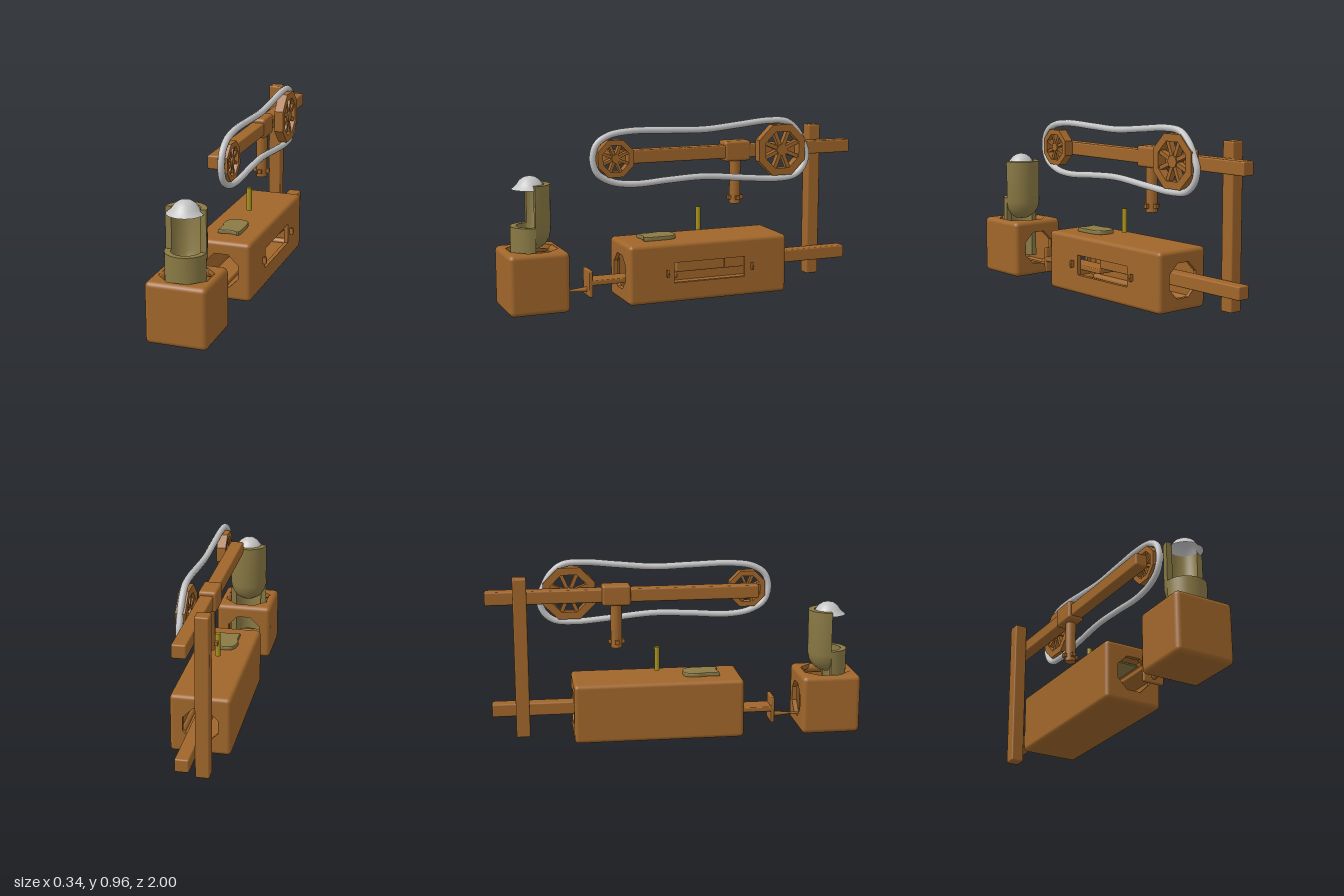
import * as THREE from 'three';
import { mergeGeometries, toCreasedNormals } from 'three/addons/utils/BufferGeometryUtils.js';
import { RoundedBoxGeometry } from 'three/addons/geometries/RoundedBoxGeometry.js';

const material = (name, color, side = THREE.FrontSide) => {
  const m = new THREE.MeshStandardMaterial({ color, side });
  m.name = name;
  return m;
};

export function createModel() {
  const model = new THREE.Group();
  model.name = 'beltMachine';
  const wood = material('wood', 0xa0662a);
  const olive = material('olive', 0x8a7a45, THREE.DoubleSide);
  const yellow = material('yellow', 0xa8921c);
  const silver = material('silver', 0xc4c4c4, THREE.DoubleSide);
  const CX = -0.012; // the machine's long axis

  const add = (name, geometry, mat, x = 0, y = 0, z = 0, parent = model) => {
    const mesh = new THREE.Mesh(geometry, mat);
    mesh.name = name;
    mesh.position.set(x, y, z);
    parent.add(mesh);
    return mesh;
  };
  // Rounded bar given by its limits on each axis
  const bar = (name, [x0, x1], [y0, y1], [z0, z1], r = 0.008) =>
    add(name, new RoundedBoxGeometry(x1 - x0, y1 - y0, z1 - z0, 2, r), wood,
      (x0 + x1) / 2, (y0 + y1) / 2, (z0 + z1) / 2);

  const polygon = (n, r, turn = 0) => Array.from({ length: n }, (_, i) => {
    const a = turn + (i / n) * Math.PI * 2;
    return new THREE.Vector2(Math.cos(a) * r, Math.sin(a) * r);
  });
  const octagon = (r) => polygon(8, r, Math.PI / 8);
  const rect = (w, h) => [[-w, -h], [w, -h], [w, h], [-w, h]].map(([x, y]) => new THREE.Vector2(x / 2, y / 2));

  // Hollow box: wall panels with holes, round edges and round corners
  function hollowBox(name, w, h, d, r, holes) {
    const parts = [];
    const wall = (key, a, b, out, rx, ry) => {
      const shape = new THREE.Shape(rect(a - 2 * r, b - 2 * r));
      if (holes[key]) shape.holes.push(new THREE.Path(holes[key]));
      const g = new THREE.ExtrudeGeometry(shape, { depth: r, bevelEnabled: false });
      parts.push(g.translate(0, 0, out / 2 - r).rotateX(rx).rotateY(ry));
    };
    const q = Math.PI / 2;
    wall('front', w, h, d, 0, 0);
    wall('back', w, h, d, 0, Math.PI);
    wall('left', d, h, w, 0, q);
    wall('right', d, h, w, 0, -q);
    wall('top', w, d, h, -q, 0);
    wall('bottom', w, d, h, q, 0);
    const x = w / 2 - r, y = h / 2 - r, z = d / 2 - r;
    const edge = (len) => new THREE.CylinderGeometry(r, r, len, 20, 1, true).toNonIndexed();
    for (const s of [-1, 1]) for (const t of [-1, 1]) {
      parts.push(edge(2 * y).translate(s * x, 0, t * z));
      parts.push(edge(2 * x).rotateZ(q).translate(0, s * y, t * z));
      parts.push(edge(2 * z).rotateX(q).translate(s * x, t * y, 0));
      for (const u of [-1, 1]) {
        parts.push(new THREE.SphereGeometry(r, 20, 12).toNonIndexed().translate(s * x, t * y, u * z));
      }
    }
    return add(name, mergeGeometries(parts), wood, CX, h / 2, 0);
  }

  // Main housing and cup box
  hollowBox('mainHousing', 0.32, 0.32, 0.91, 0.022, {
    front: octagon(0.1), back: octagon(0.1), left: rect(0.41, 0.11),
  }).position.z = -0.095;
  hollowBox('cupBox', 0.32, 0.32, 0.32, 0.026, {
    top: octagon(0.136), back: octagon(0.1),
  }).position.z = 0.84;
  add('housingLining', new THREE.BoxGeometry(0.26, 0.008, 0.6), olive, CX, 0.29, -0.095);

  // Window clips on the housing's side
  for (const z of [0.15, -0.34]) {
    for (const s of [-1, 1]) {
      const clip = add('windowClip', new THREE.BoxGeometry(0.022, 0.02, 0.012), wood, 0.157, 0.162 + s * 0.009, z);
      clip.rotation.z = s * 0.25;
    }
  }

  // Wavy lid patch on top
  const lid = new THREE.Shape();
  lid.setFromPoints(new THREE.SplineCurve([
    [-0.055, -0.09], [0.01, -0.08], [0.05, -0.09], [0.055, -0.03], [0.05, 0.06],
    [0.02, 0.09], [-0.045, 0.085], [-0.065, 0.03], [-0.055, -0.02], [-0.055, -0.09],
  ].map(([x, y]) => new THREE.Vector2(x, y))).getPoints(36));
  add('topLid', new THREE.ExtrudeGeometry(lid, {
    depth: 0.012, bevelThickness: 0.006, bevelSize: 0.006, bevelSegments: 2,
  }).rotateX(-Math.PI / 2), olive, CX, 0.324, 0.145);
  add('yellowPin', new THREE.CylinderGeometry(0.014, 0.014, 0.13, 16), yellow, CX, 0.414, -0.093);

  // Frame: lower bar, post and upper beam
  bar('rearBar', [-0.05, 0.022], [0.13, 0.2], [-0.98, -0.23]);
  bar('post', [-0.124, -0.052], [0.035, 0.89], [-0.855, -0.782]);
  bar('upperBeam', [-0.048, 0.024], [0.737, 0.808], [-1, 0.455]);
  bar('beamBlock', [-0.065, 0.03], [0.72, 0.83], [-0.387, -0.235], 0.014);
  bar('piston', [-0.08, 0.04], [0.135, 0.2], [-0.23, 0.055]);

  // Hanging peg with studs around its foot
  add('hangingPeg', new THREE.CylinderGeometry(0.03, 0.03, 0.25, 20), wood, CX, 0.61, -0.31);
  for (let i = 0; i < 4; i++) {
    const a = (i * Math.PI) / 2;
    const stud = add('pegStud', new THREE.BoxGeometry(0.018, 0.022, 0.022), wood,
      CX + Math.sin(a) * 0.036, 0.518, -0.31 + Math.cos(a) * 0.036);
    stud.rotation.y = a + Math.PI / 2;
  }

  // Front plank, end plate and thin stirring rod
  bar('frontPlank', [-0.07, 0.046], [0.105, 0.132], [0.05, 0.54], 0.006);
  bar('endPlate', [-0.07, 0.046], [0.042, 0.185], [0.528, 0.548], 0.006);
  add('stirRod', new THREE.CylinderGeometry(0.006, 0.016, 0.1, 12).rotateX(Math.PI / 2), wood, CX, 0.075, 0.59);
  add('rodTip', new THREE.CylinderGeometry(0.006, 0.006, 0.16, 12).rotateX(Math.PI / 2), wood, CX, 0.075, 0.71);

  // Eight-sided spoked wheels
  function wheel(name, r, z) {
    const g = new THREE.Group();
    g.name = name;
    g.position.set(0.026, 0.775, z);
    g.rotation.y = Math.PI / 2;
    model.add(g);
    const rim = new THREE.Shape(octagon(r));
    rim.holes.push(new THREE.Path(octagon(r * 0.72)));
    add('rim', new THREE.ExtrudeGeometry(rim, { depth: 0.05, bevelEnabled: false }), wood, 0, 0, 0, g);
    add('hub', new THREE.CylinderGeometry(r * 0.22, r * 0.22, 0.05, 8).rotateX(Math.PI / 2), wood, 0, 0, 0.024, g);
    for (let i = 0; i < 8; i++) {
      const spoke = new THREE.BoxGeometry(r * 0.74, r * 0.14, 0.034).translate(r * 0.37, 0, 0.025);
      add('spoke', spoke, wood, 0, 0, 0, g).rotation.z = (i * Math.PI) / 4 + Math.PI / 8;
    }
  }
  wheel('bigWheel', 0.15, -0.555);
  wheel('smallWheel', 0.105, 0.405);

  // Drive belt as [z, y] points
  const beltPath = [
    [0.525, 0.775], [0.505, 0.85], [0.44, 0.895], [0.32, 0.914], [0.1, 0.91], [-0.1, 0.905],
    [-0.3, 0.922], [-0.48, 0.938], [-0.59, 0.928], [-0.655, 0.875], [-0.69, 0.81], [-0.712, 0.75],
    [-0.695, 0.68], [-0.64, 0.63], [-0.53, 0.617], [-0.35, 0.63], [-0.1, 0.652], [0.1, 0.645],
    [0.3, 0.634], [0.42, 0.652], [0.5, 0.7],
  ].map(([z, y]) => new THREE.Vector3(0.052, y, z));
  add('driveBelt', new THREE.TubeGeometry(new THREE.CatmullRomCurve3(beltPath, true), 120, 0.018, 12, true), silver);

  // Cup: half shells, each a lathed profile with flat cut faces
  const cup = new THREE.Group();
  cup.name = 'cup';
  cup.position.set(CX, 0, 0.845);
  model.add(cup);
  function halfShell(name, profile, start) {
    const pts = profile.map(([x, y]) => new THREE.Vector2(x, y));
    add(name, toCreasedNormals(new THREE.LatheGeometry([...pts, pts[0]], 20, start, Math.PI), 0.7), olive, 0, 0, 0, cup);
    for (const s of [-1, 1]) {
      const face = new THREE.Shape(pts.map((p) => new THREE.Vector2(s * p.x, p.y)));
      add('cutFace', new THREE.ShapeGeometry(face), olive, 0, 0, 0, cup);
    }
  }
  halfShell('backShell', [
    [0, 0.315], [0.04, 0.322], [0.075, 0.345], [0.097, 0.38], [0.105, 0.42], [0.105, 0.658],
    [0.074, 0.658], [0.074, 0.42], [0.05, 0.365], [0, 0.345],
  ], Math.PI / 2);
  halfShell('frontShell', [[0.074, 0.08], [0.105, 0.08], [0.105, 0.443], [0.074, 0.443]], -Math.PI / 2);

  // Domed cap with a flared front brim
  const capHalf = (name, profile, start) => add(name,
    new THREE.LatheGeometry(profile.map(([x, y]) => new THREE.Vector2(x, y)), 18, start, Math.PI), silver, 0, 0, 0, cup);
  const dome = [[0.066, 0.66], [0.052, 0.68], [0.03, 0.695], [0, 0.702]];
  capHalf('capFront', [[0.094, 0.634], [0.078, 0.646], ...dome], -Math.PI / 2);
  capHalf('capBack', [[0.074, 0.645], ...dome], Math.PI / 2);

  return model;
}
